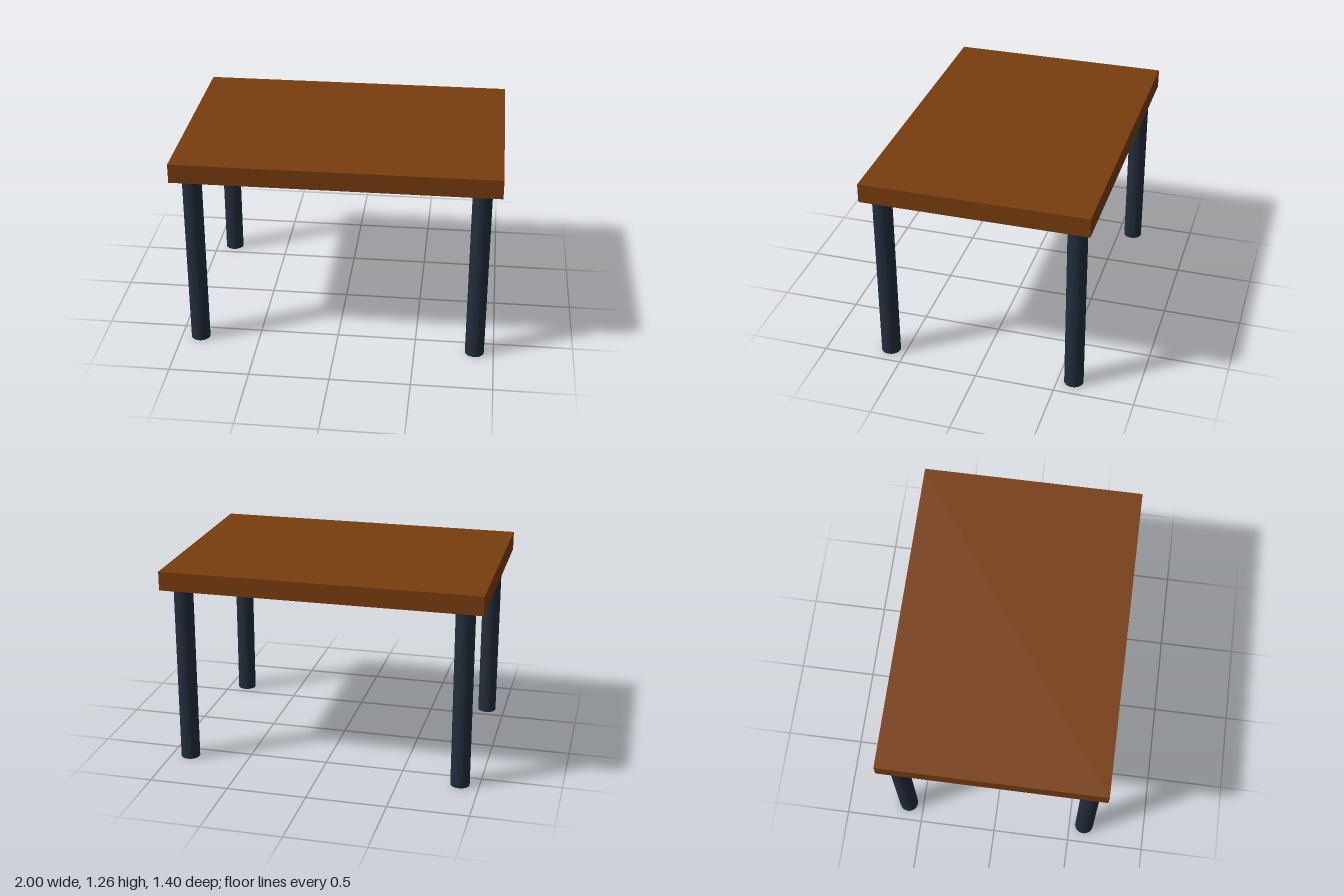
import * as THREE from 'three';

const WIDTH = 2, DEPTH = 1.4, TOP_THICKNESS = 0.12;
const LEG_HEIGHT = 1.145, LEG_RADIUS = 0.06, LEG_X = 0.88, LEG_Z = 0.6;

export function createModel() {
  const table = new THREE.Group();
  table.name = 'table';

  const wood = new THREE.MeshStandardMaterial({ color: 0x783c0e });
  wood.name = 'brown wood';
  const metal = new THREE.MeshStandardMaterial({ color: 0x222d3b });
  metal.name = 'dark slate';

  // Slab top
  const top = new THREE.Mesh(new THREE.BoxGeometry(WIDTH, TOP_THICKNESS, DEPTH), wood);
  top.name = 'tableTop';
  top.position.y = LEG_HEIGHT + TOP_THICKNESS / 2;
  table.add(top);

  // Round legs, one inset at each corner
  const legGeometry = new THREE.CylinderGeometry(LEG_RADIUS, LEG_RADIUS, LEG_HEIGHT, 32);
  for (const [zName, z] of [['front', LEG_Z], ['back', -LEG_Z]]) {
    for (const [xName, x] of [['Left', LEG_X], ['Right', -LEG_X]]) {
      const leg = new THREE.Mesh(legGeometry, metal);
      leg.name = `${zName}${xName}Leg`;
      leg.position.set(x, LEG_HEIGHT / 2, z);
      table.add(leg);
    }
  }

  return table;
}
